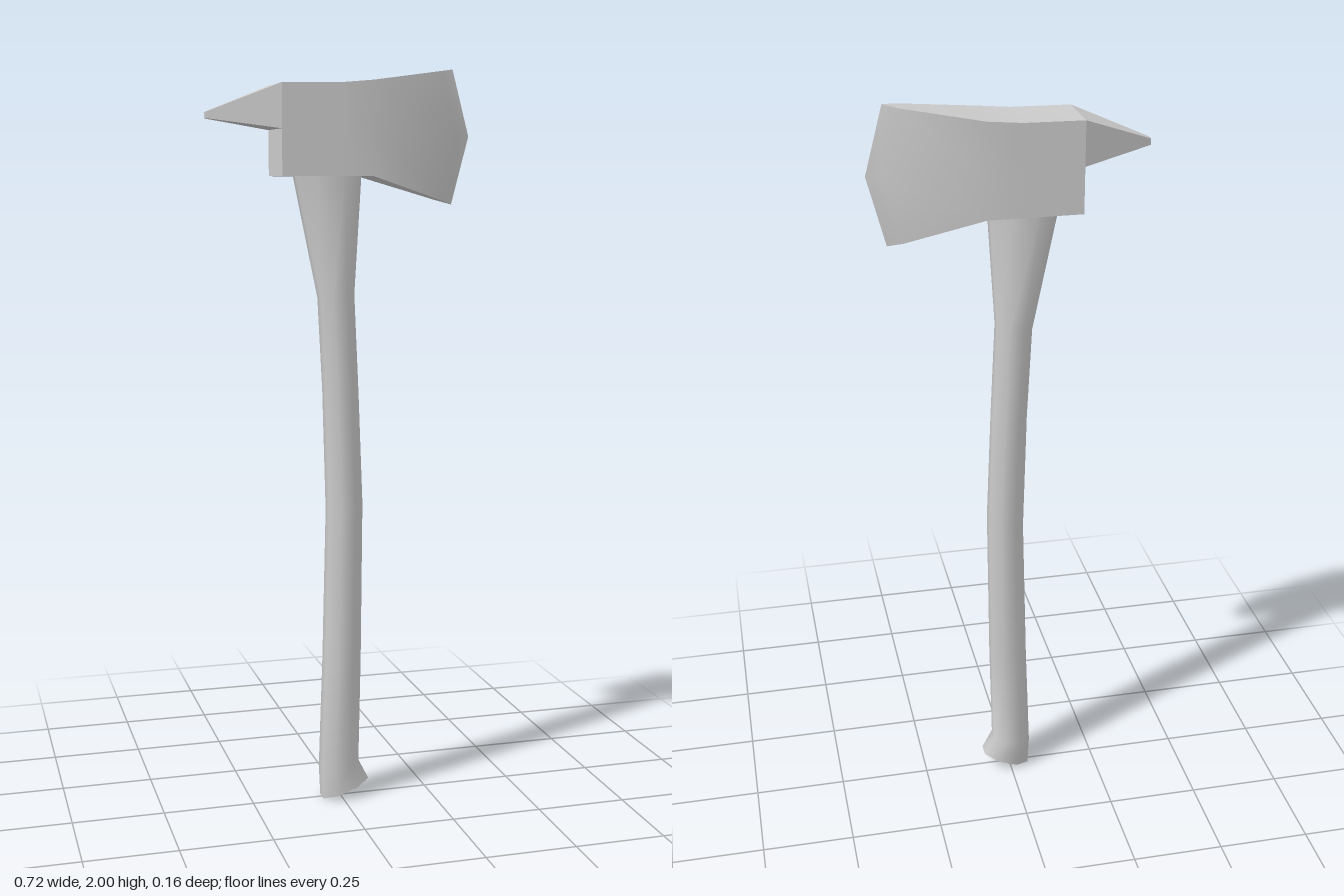
import * as THREE from 'three';
import { toCreasedNormals } from 'three/addons/utils/BufferGeometryUtils.js';

const material = new THREE.MeshStandardMaterial({ color: 0xcccccc });

// Skins a row of equal rings and closes both ends; keeps sharp edges above the crease angle.
function loft(rings, crease) {
  const n = rings[0].length;
  const index = [];
  for (let r = 0; r < rings.length - 1; r++) {
    for (let i = 0; i < n; i++) {
      const a = r * n + i, b = r * n + (i + 1) % n;
      index.push(a, b, b + n, a, b + n, a + n);
    }
  }
  const last = (rings.length - 1) * n;
  for (let i = 1; i < n - 1; i++) {
    index.push(0, i + 1, i, last, last + i, last + i + 1);
  }
  const geometry = new THREE.BufferGeometry();
  geometry.setAttribute('position', new THREE.Float32BufferAttribute(rings.flat(2), 3));
  geometry.setIndex(index);
  return toCreasedNormals(geometry, crease);
}

// Head section across x: top, middle and bottom points [x, y], mirrored in z.
function headSection(points, halfZ) {
  const front = points.map(([x, y]) => [x, y, halfZ]);
  const back = points.map(([x, y]) => [x, y, -halfZ]).reverse();
  return [...back, ...front];
}

function createHead() {
  const sections = [
    // poll face, socket, cheek start, bevel start, cutting edge
    [[[-0.175, 1.955], [-0.175, 1.84], [-0.175, 1.72]], 0.078],
    [[[-0.02, 1.957], [-0.02, 1.84], [-0.02, 1.72]], 0.078],
    [[[0.07, 1.965], [0.07, 1.835], [0.07, 1.72]], 0.078],
    [[[0.272, 1.994], [0.318, 1.825], [0.272, 1.657]], 0.025],
    [[[0.31, 2.0], [0.357, 1.825], [0.31, 1.645]], 0.0005],
  ].map(([points, z]) => headSection(points, z));
  const blade = new THREE.Mesh(loft(sections, 0.6), material);
  blade.name = 'axeBlade';

  // pick on the back of the head
  const pickSections = [
    headSection([[-0.36, 1.882], [-0.36, 1.866]], 0.011),
    headSection([[-0.175, 1.955], [-0.175, 1.84]], 0.078),
  ];
  const pick = new THREE.Mesh(loft(pickSections, 0.6), material);
  pick.name = 'backPick';

  const head = new THREE.Group();
  head.name = 'axeHead';
  head.add(blade, pick);
  return head;
}

function createHandle() {
  const sides = 8, halfZ = 0.046;
  // left x, left y, right x, right y of each ring, from foot to head
  const profile = [
    [-0.053, 0.0, 0.077, 0.048],
    [-0.057, 0.085, 0.048, 0.105],
    [-0.046, 0.4, 0.054, 0.4],
    [-0.036, 0.82, 0.058, 0.84],
    [-0.045, 1.15, 0.046, 1.15],
    [-0.058, 1.4, 0.034, 1.41],
    [-0.125, 1.725, 0.053, 1.725],
  ];
  const rings = profile.map(([lx, ly, rx, ry]) => {
    const ring = [];
    for (let i = 0; i < sides; i++) {
      const angle = ((i + 0.5) / sides) * Math.PI * 2;
      const c = Math.cos(angle) / Math.cos(Math.PI / sides);
      const s = Math.sin(angle) / Math.cos(Math.PI / sides);
      const t = (1 + c) / 2;
      ring.push([lx + (rx - lx) * t, ly + (ry - ly) * t, -s * halfZ]);
    }
    return ring;
  });
  const handle = new THREE.Mesh(loft(rings, 1.1), material);
  handle.name = 'handle';
  return handle;
}

export function createModel() {
  const model = new THREE.Group();
  model.name = 'axe';
  model.add(createHead(), createHandle());
  return model;
}
